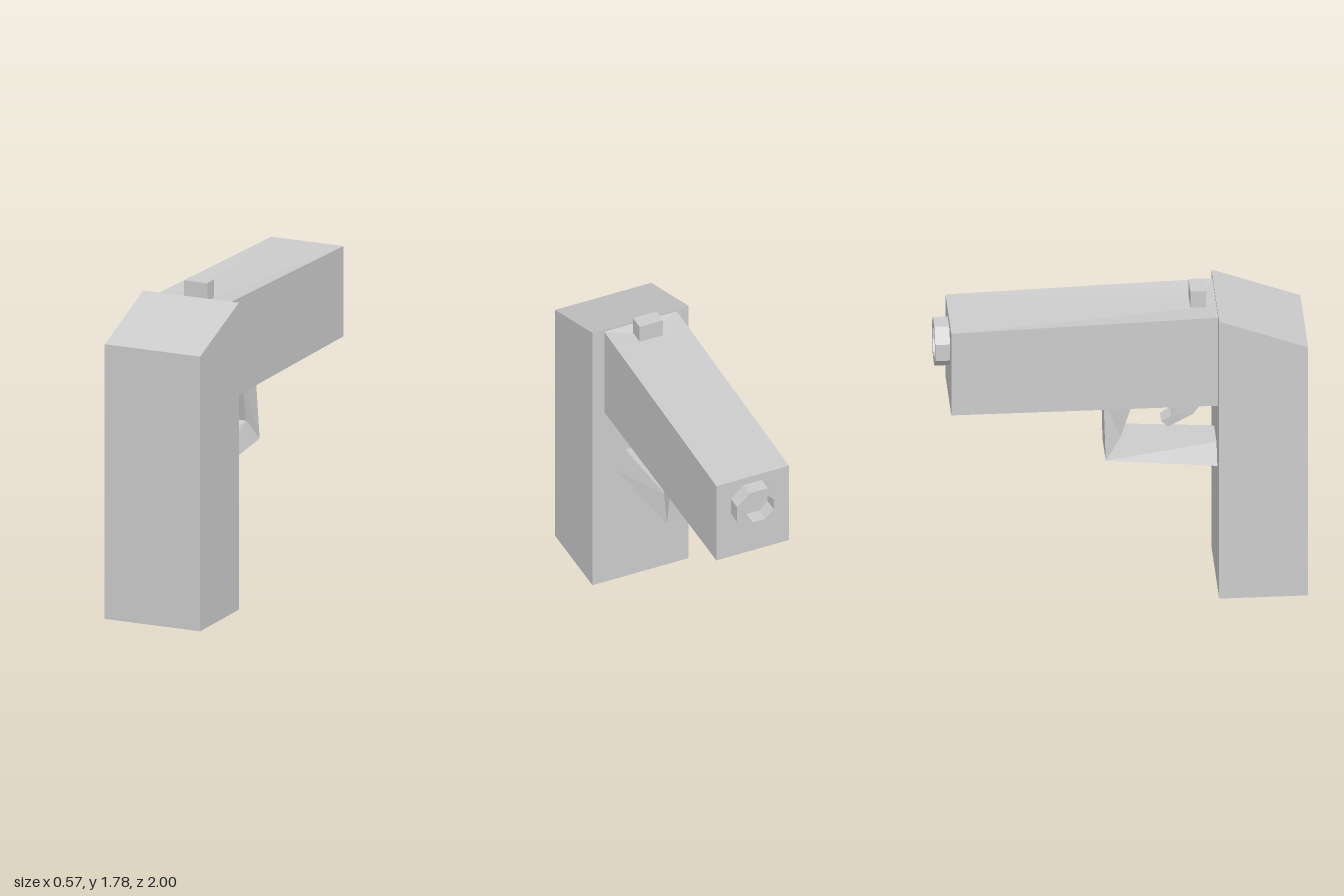
import * as THREE from 'three';

const material = new THREE.MeshStandardMaterial({ color: 0xcccccc, flatShading: true });

function addPart(group, name, geometry) {
  const mesh = new THREE.Mesh(geometry, material);
  mesh.name = name;
  group.add(mesh);
  return mesh;
}

// Skins a row of convex cross-sections (lists of [x, y, z]) and caps both ends.
function loft(sections) {
  const positions = [];
  const tri = (a, b, c) => positions.push(...a, ...b, ...c);
  const n = sections[0].length;
  for (let s = 0; s < sections.length - 1; s++) {
    const p = sections[s], q = sections[s + 1];
    for (let i = 0; i < n; i++) {
      const j = (i + 1) % n;
      tri(p[i], q[i], q[j]);
      tri(p[i], q[j], p[j]);
    }
  }
  const first = sections[0], last = sections[sections.length - 1];
  for (let i = 1; i < n - 1; i++) {
    tri(first[0], first[i], first[i + 1]);
    tri(last[0], last[i + 1], last[i]);
  }
  const geometry = new THREE.BufferGeometry();
  geometry.setAttribute('position', new THREE.Float32BufferAttribute(positions, 3));
  geometry.computeVertexNormals();
  return geometry;
}

// Four-cornered section from two edges, each [z, y, half width].
const bar = ([z0, y0, w0], [z1, y1, w1]) => [[-w0, y0, z0], [w0, y0, z0], [w1, y1, z1], [-w1, y1, z1]];

// Slide section: box outline whose top has an inner strip of its own width and height.
const slideSection = (z, top, stripWidth, stripTop) => [
  [-0.215, 1.155, z], [0.215, 1.155, z], [0.215, top, z],
  [stripWidth, stripTop, z], [-stripWidth, stripTop, z], [-0.215, top, z],
];

function octagon(Path, radius) {
  const path = new Path();
  for (let i = 0; i < 8; i++) {
    const a = (i + 0.5) * Math.PI / 4;
    const x = radius * 1.07 * Math.cos(a), y = radius * Math.sin(a);
    if (i) path.lineTo(x, y); else path.moveTo(x, y);
  }
  path.closePath();
  return path;
}

export function createModel() {
  const model = new THREE.Group();
  model.name = 'pistol';

  // Tall grip with a sloped top
  addPart(model, 'grip', loft([
    bar([1, 0, 0.285], [1, 1.535, 0.285]),
    bar([0.52, 0, 0.285], [0.52, 1.715, 0.285]),
  ]));

  // Slide, tapering forward and slightly sunken around the sight
  addPart(model, 'slide', loft([
    slideSection(0.52, 1.7, 0.21, 1.7),
    slideSection(0.46, 1.698, 0.07, 1.685),
    slideSection(0.38, 1.696, 0.075, 1.683),
    slideSection(-0.92, 1.66, 0.21, 1.66),
  ]));

  // Rear sight
  const sight = addPart(model, 'sight', new THREE.BoxGeometry(0.14, 0.12, 0.085));
  sight.position.set(0, 1.724, 0.423);

  // Hollow octagonal muzzle
  const ring = octagon(THREE.Shape, 0.13);
  ring.holes.push(octagon(THREE.Path, 0.09));
  const muzzle = addPart(model, 'muzzle',
    new THREE.ExtrudeGeometry(ring, { depth: 0.08, bevelEnabled: false }));
  muzzle.position.set(0, 1.495, -1);

  // Tapered mount under the slide, carrying the trigger
  addPart(model, 'triggerMount', loft([
    bar([0.52, 1.156, 0.2], [0.09, 1.156, 0.09]),
    bar([0.48, 1.125, 0.05], [0.37, 1.13, 0.05]),
  ]));
  addPart(model, 'trigger', loft([
    bar([0.48, 1.126, 0.05], [0.37, 1.13, 0.05]),
    bar([0.395, 1.015, 0.05], [0.28, 1.01, 0.05]),
    bar([0.26, 0.94, 0.045], [0.225, 0.975, 0.045]),
  ]));

  // Guard: lower bar from the grip, then a post up to the slide
  addPart(model, 'triggerGuard', loft([
    bar([0.52, 0.745, 0.15], [0.52, 0.86, 0.09]),
    bar([-0.08, 0.785, 0.12], [0, 0.9, 0.08]),
    bar([-0.09, 1.156, 0.09], [0.08, 1.156, 0.09]),
  ]));

  return model;
}
